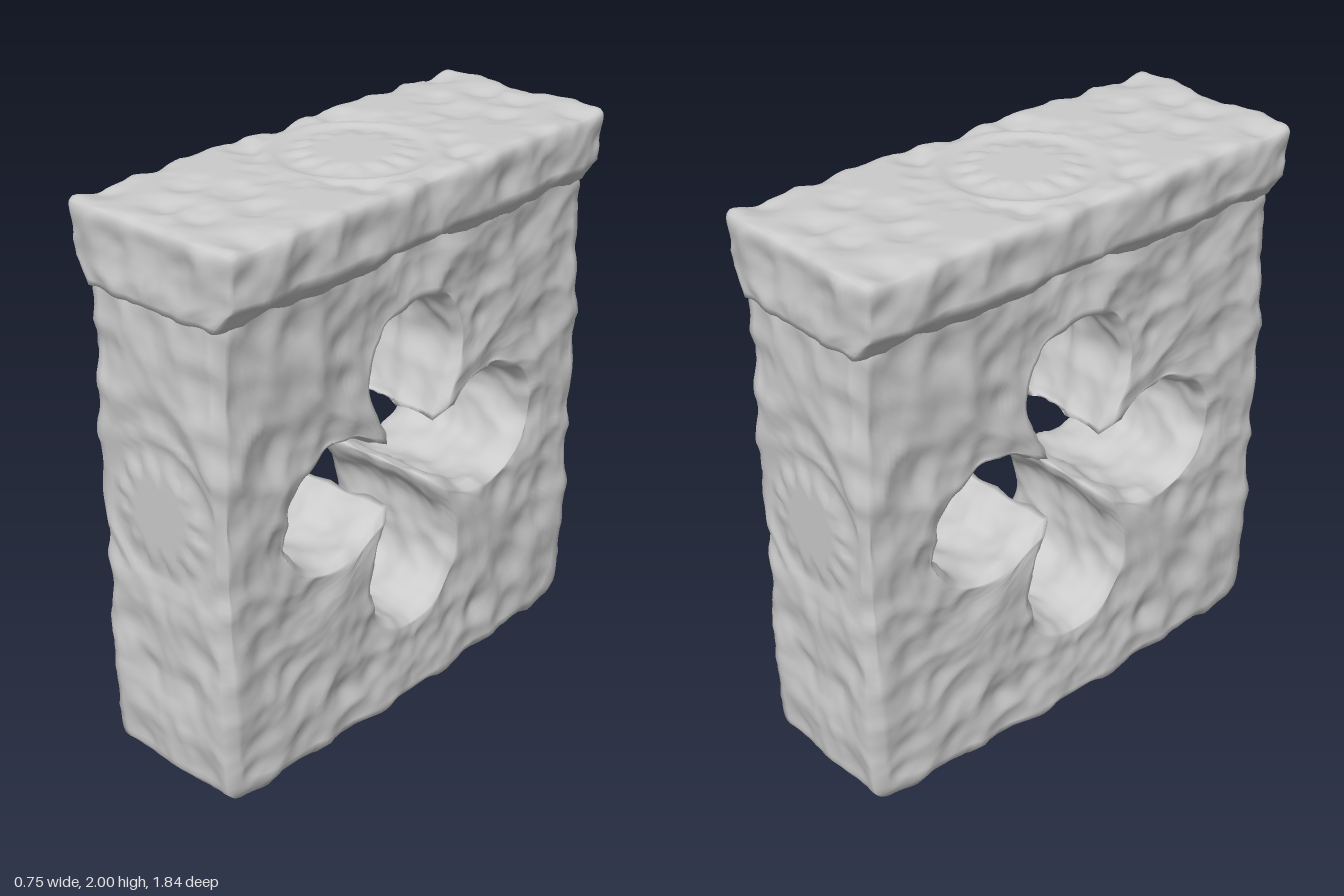
import * as THREE from 'three';
import { mergeVertices } from 'three/addons/utils/BufferGeometryUtils.js';

const HALF_X = 0.285, HALF_Z = 0.9, HOLE_Y = 0.945, WALL_TOP = 1.8;

// Repeatable hash giving 0..1
function hash(x, y, z, k) {
  const s = Math.sin(x * 127.1 + y * 311.7 + z * 74.7 + k * 53.3) * 43758.5453;
  return s - Math.floor(s);
}

// Distance to the nearest scattered point: scooped dents that meet in ridges
function scoops(x, y, z, cell) {
  const px = x / cell, py = y / cell, pz = z / cell;
  const ix = Math.floor(px), iy = Math.floor(py), iz = Math.floor(pz);
  let best = 9;
  for (let a = ix - 1; a <= ix + 1; a++)
    for (let b = iy - 1; b <= iy + 1; b++)
      for (let c = iz - 1; c <= iz + 1; c++) {
        const dx = a + hash(a, b, c, 1) - px, dy = b + hash(a, b, c, 2) - py, dz = c + hash(a, b, c, 3) - pz;
        best = Math.min(best, dx * dx + dy * dy + dz * dz);
      }
  return Math.sqrt(best);
}

// Worn round medallion: flat star in the middle, petals and a raised rim
function rosette(a, b) {
  const r = Math.hypot(a, b), wave = Math.abs(Math.sin(Math.atan2(b, a) * 6));
  const star = 0.13 + 0.06 * wave;
  if (r < star) return 0.004;
  const rim = 0.014 * Math.exp(-(((r - 0.28) / 0.02) ** 2));
  return rim - 0.01 * Math.min(1, (r - star) / 0.04);
}

// Push every vertex along its normal to make hewn stone
function weather(geo) {
  geo.computeVertexNormals();
  const p = geo.attributes.position, n = geo.attributes.normal;
  const v = new THREE.Vector3(), m = new THREE.Vector3();
  for (let i = 0; i < p.count; i++) {
    v.fromBufferAttribute(p, i);
    m.fromBufferAttribute(n, i);
    const x = Math.abs(v.x), z = Math.abs(v.z);
    let d = 0.042 * (scoops(x + 3, v.y, z + 7, 0.17) - 0.5) + 0.012 * (scoops(x, v.y + 5, z, 0.08) - 0.5);
    const onEnd = z > 0.85 && Math.abs(m.z) > 0.7;
    const onTopOrBase = (v.y > 1.94 || v.y < 0.06) && Math.abs(m.y) > 0.7;
    if (onEnd || onTopOrBase) {
      const a = v.x, b = onEnd ? v.y - 1.02 : v.z;
      const blend = THREE.MathUtils.smoothstep(Math.hypot(a, b), 0.27, 0.33);
      d = THREE.MathUtils.lerp(rosette(a, b), d, blend);
    }
    v.addScaledVector(m, d);
    v.y = THREE.MathUtils.clamp(v.y, 0, 2);
    p.setXYZ(i, v.x, v.y, v.z);
  }
  geo.computeVertexNormals();
  return geo;
}

// Pierced wall: a closed cross-section swept around the four-lobed opening
function wallGeometry() {
  // Half a lobe, from its crown to the cusp
  const half = new THREE.SplineCurve([
    [0, 0.615], [0.08, 0.6], [0.15, 0.555], [0.197, 0.48], [0.218, 0.38],
    [0.2, 0.27], [0.165, 0.205], [0.135, 0.155], [0.118, 0.118],
  ].map(([a, b]) => new THREE.Vector2(a, b)));
  const N = 34, pts = half.getSpacedPoints(N);

  // Columns: [opening, outer edge of a unit square] for all four lobes
  const columns = [];
  for (let q = 0; q < 4; q++)
    for (let i = -N; i < N; i++) {
      const s = i / N, h = pts[Math.abs(i)];
      let hole = [Math.sign(s) * h.x, h.y];
      const worn = 1 - 0.025 * s ** 24;
      let out = [s * worn, worn];
      for (let k = 0; k < q; k++) {
        hole = [hole[1], -hole[0]];
        out = [out[1], -out[0]];
      }
      const oy = out[1] * (out[1] > 0 ? WALL_TOP - HOLE_Y : HOLE_Y - 0.012);
      columns.push([hole, [out[0] * HALF_Z, oy]]);
    }

  // Cross-section: [x, fraction from opening to outer edge], bevelled corners
  const section = [];
  const run = (n, x0, f0, x1, f1) => {
    for (let i = 0; i <= n; i++)
      section.push([x0 + (x1 - x0) * i / n, f0 + (f1 - f0) * i / n]);
  };
  const bx = HALF_X - 0.03;
  run(22, -bx, 0, bx, 0);
  run(26, HALF_X, 0.05, HALF_X, 0.95);
  run(24, bx, 1, -bx, 1);
  run(26, -HALF_X, 0.95, -HALF_X, 0.05);

  const pos = [], idx = [], U = section.length, C = columns.length;
  for (const [h, o] of columns)
    for (const [x, f] of section)
      pos.push(x, HOLE_Y + h[1] + (o[1] - h[1]) * f, h[0] + (o[0] - h[0]) * f);
  for (let c = 0; c < C; c++)
    for (let u = 0; u < U; u++) {
      const c2 = (c + 1) % C, u2 = (u + 1) % U;
      const a = c * U + u, b = c * U + u2, d = c2 * U + u, e = c2 * U + u2;
      idx.push(a, b, d, b, e, d);
    }
  const geo = new THREE.BufferGeometry();
  geo.setAttribute('position', new THREE.Float32BufferAttribute(pos, 3));
  geo.setIndex(idx);
  return weather(geo);
}

// Coping: a rounded slab whose lower edge slopes back to the wall
function copingGeometry() {
  const hx = 0.36, hy = 0.13, hz = HALF_Z, r = 0.035;
  let geo = new THREE.BoxGeometry(hx * 2, hy * 2, hz * 2, 36, 14, 90);
  geo.deleteAttribute('uv');
  geo.deleteAttribute('normal');
  geo = mergeVertices(geo);
  const p = geo.attributes.position, v = new THREE.Vector3(), core = new THREE.Vector3();
  const lo = new THREE.Vector3(r - hx, -hy, r - hz), hi = new THREE.Vector3(hx - r, hy - r, hz - r);
  for (let i = 0; i < p.count; i++) {
    v.fromBufferAttribute(p, i);
    core.copy(v).clamp(lo, hi);
    v.sub(core);
    if (v.length() > r) v.setLength(r);
    v.add(core);
    const y = v.y + 1.865;
    const width = THREE.MathUtils.lerp(HALF_X / hx, 1, THREE.MathUtils.clamp((y - 1.74) / 0.07, 0, 1));
    p.setXYZ(i, v.x * width, y, v.z);
  }
  return weather(geo);
}

export function createModel() {
  const model = new THREE.Group();
  model.name = 'piercedStoneBlock';
  const stone = new THREE.MeshStandardMaterial({ color: 0xcccccc });
  const add = (name, geo) => {
    const mesh = new THREE.Mesh(geo, stone);
    mesh.name = name;
    model.add(mesh);
  };
  add('piercedWall', wallGeometry());
  add('coping', copingGeometry());
  return model;
}
